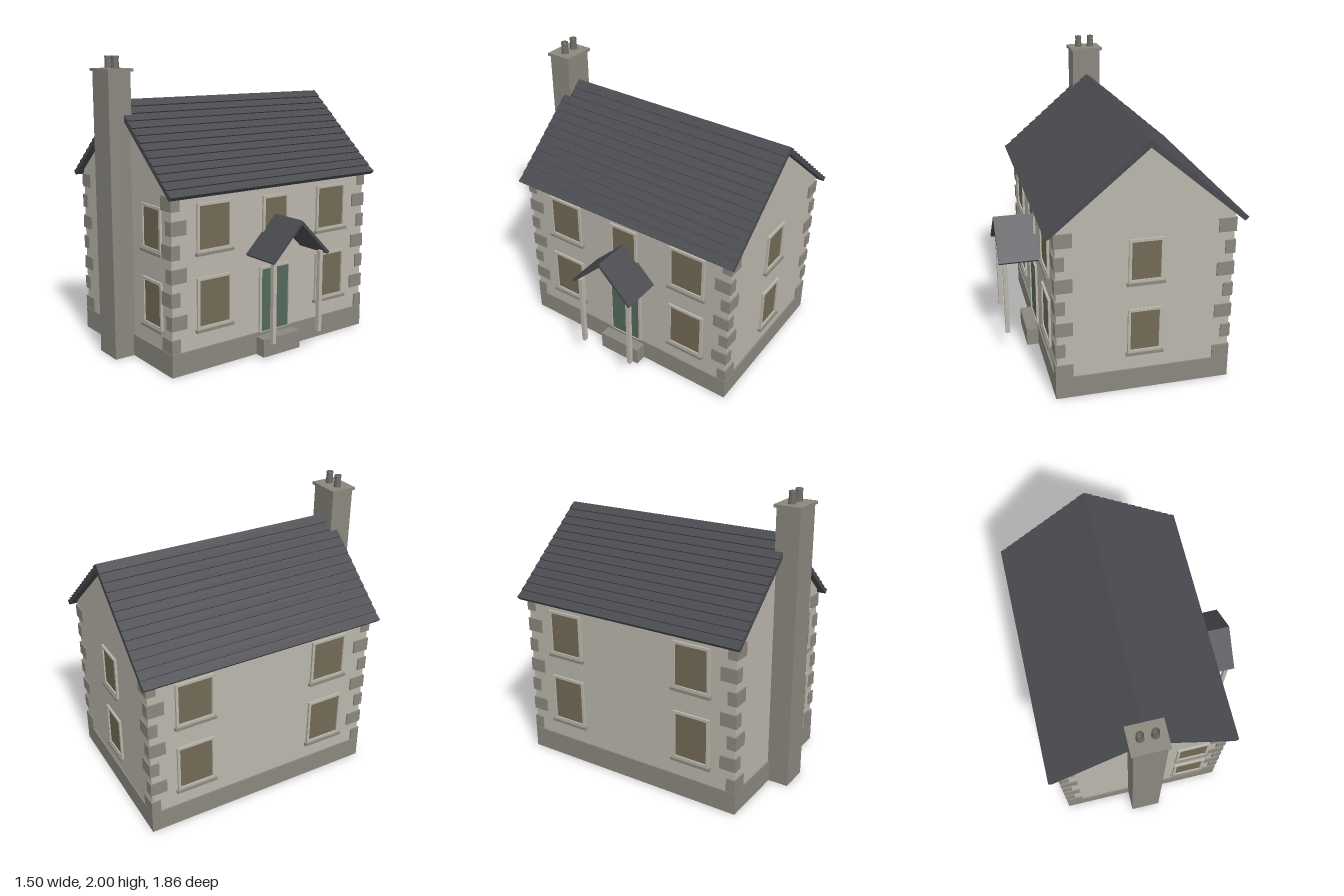
import * as THREE from 'three';

const mat = (color, side = THREE.FrontSide) => new THREE.MeshStandardMaterial({ color, side });
const wallMat = mat(0xbab6ac);
const frameMat = mat(0xb8b6aa);
const stoneMat = mat(0x8a877e);
const slateMat = mat(0x4a4b50);
const glassMat = mat(0x736a55);
const doorMat = mat(0x54695c);
const floorMat = mat(0x45423f);
const potMat = mat(0x6f6c66, THREE.DoubleSide);

// Half sizes of the walls, and how far the stonework stands out
const HX = 0.575, HZ = 0.825, OUT = 0.01;

function add(parent, name, geometry, material, x = 0, y = 0, z = 0) {
  const mesh = new THREE.Mesh(geometry, material);
  mesh.name = name;
  mesh.position.set(x, y, z);
  parent.add(mesh);
  return mesh;
}

// Box given by its size, centre in x and z, and bottom in y
function box(parent, name, material, w, h, d, x, y, z) {
  return add(parent, name, new THREE.BoxGeometry(w, h, d), material, x, y + h / 2, z);
}

function extrude(points, depth, holes = []) {
  const shape = new THREE.Shape(points.map(([x, y]) => new THREE.Vector2(x, y)));
  for (const h of holes) shape.holes.push(new THREE.Path(h.map(([x, y]) => new THREE.Vector2(x, y))));
  const g = new THREE.ExtrudeGeometry(shape, { depth, bevelEnabled: false });
  return g.translate(0, 0, -depth / 2);
}

const rect = (x0, y0, x1, y1) => [[x0, y0], [x1, y0], [x1, y1], [x0, y1]];

// Frame around an opening w by h that starts at y = 0
function surround(parent, name, w, h, below) {
  const b = 0.018;
  const g = extrude(rect(-w / 2 - b, -below, w / 2 + b, h + b), 0.03, [rect(-w / 2, 0, w / 2, h)]);
  add(parent, name, g, frameMat);
}

// Window facing +z, with its wall surface at z = 0
function makeWindow(w, h) {
  const g = new THREE.Group();
  g.name = 'window';
  surround(g, 'windowFrame', w, h, 0.018);
  box(g, 'windowPane', glassMat, w, h, 0.01, 0, 0, 0);
  box(g, 'windowSill', stoneMat, w + 0.06, 0.018, 0.05, 0, -0.036, 0);
  return g;
}

function makeDoor() {
  const g = new THREE.Group();
  g.name = 'door';
  surround(g, 'doorFrame', 0.235, 0.44, 0);
  box(g, 'doorPanel', doorMat, 0.235, 0.44, 0.012, 0, 0, 0);
  box(g, 'doorPane', glassMat, 0.06, 0.06, 0.02, 0, 0.31, 0);
  return g;
}

// Puts an item on the wall that faces the given angle, u to the right along it
function onWall(parent, item, angle, dist, u, y) {
  const side = new THREE.Group();
  side.name = item.name + 'Place';
  side.rotation.y = angle;
  item.position.set(u, y, dist);
  side.add(item);
  parent.add(side);
}

// Roof outline: stepped slate courses above, plain slopes below
function roofOutline(rows) {
  const half = [];
  for (let i = 0; i < rows; i++) {
    for (const [t, lift] of [[i / rows, 0.009], [(i + 1) / rows, 0]]) {
      half.push([0.64 * (1 - t) + lift * 0.64, 1.165 + 0.55 * t + lift * 0.77]);
    }
  }
  half[half.length - 1] = [0, 1.72];
  const mirrored = half.slice(0, -1).reverse().map(([x, y]) => [-x, y]);
  return [[0.622, 1.148], ...half, ...mirrored, [-0.622, 1.148], [0, 1.672]];
}

export function createModel() {
  const model = new THREE.Group();
  model.name = 'house';
  const house = new THREE.Group();
  house.name = 'houseParts';
  house.position.set(-0.105, 0, -0.055);
  model.add(house);

  // Walls with gables, over a hollow plinth
  add(house, 'walls', extrude([[-HX, 0.14], [HX, 0.14], [HX, 1.188], [0, 1.675], [-HX, 1.188]], HZ * 2), wallMat);
  box(house, 'floor', floorMat, HX * 2, 0.01, HZ * 2, 0, 0.13, 0);
  const px = HX + OUT, pz = HZ + OUT, t = 0.012;
  const plinth = extrude(rect(-px, -pz, px, pz), 0.15, [rect(-px + t, -pz + t, px - t, pz - t)]);
  add(house, 'plinth', plinth.rotateX(-Math.PI / 2), stoneMat, 0, 0.075, 0);

  // Corner stones, long and short by turns
  for (const sx of [-1, 1]) for (const sz of [-1, 1]) {
    for (let i = 0; i < 7; i++) {
      const [w, d] = i % 2 ? [0.066, 0.116] : [0.116, 0.066];
      box(house, 'cornerStone', stoneMat, w, 0.092, d,
        sx * (px - w / 2), 0.153 + i * 0.1525, sz * (pz - d / 2));
    }
  }

  // Roof
  add(house, 'roof', extrude(roofOutline(13), 1.74), slateMat);

  // Windows on the long sides, then on the gables
  const Q = Math.PI / 2;
  for (const angle of [Q, -Q]) for (const u of [-0.505, 0.505]) {
    onWall(house, makeWindow(0.235, 0.305), angle, HX, u, 0.296);
    onWall(house, makeWindow(0.235, 0.283), angle, HX, u, 0.802);
  }
  for (const [angle, u] of [[0, 0.355], [2 * Q, 0]]) {
    onWall(house, makeWindow(0.19, 0.28), angle, HZ, u, 0.296);
    onWall(house, makeWindow(0.19, 0.26), angle, HZ, u, 0.802);
  }
  onWall(house, makeWindow(0.185, 0.245), Q, HX, 0, 0.826);

  // Door, step and porch
  onWall(house, makeDoor(), Q, HX, 0, 0.15);
  box(house, 'doorStep', stoneMat, 0.09, 0.125, 0.32, 0.622, 0, 0);
  const porch = extrude([[0.232, 0.7], [0.245, 0.714], [0, 0.957], [-0.245, 0.714], [-0.232, 0.7], [0, 0.93]], 0.277);
  add(house, 'porchRoof', porch.rotateY(Q), slateMat, 0.7115, 0, 0);
  for (const s of [-1, 1]) box(house, 'porchPost', frameMat, 0.03, 0.565, 0.028, 0.807, 0.155, s * 0.2);

  // Chimney with a cap and two hollow pots
  box(house, 'chimneyStack', stoneMat, 0.21, 1.9, 0.16, 0, 0, 0.895);
  box(house, 'chimneyCap', stoneMat, 0.238, 0.02, 0.185, 0, 1.9, 0.893);
  const profile = [[0.026, 0], [0.021, 0.065], [0.024, 0.066], [0.024, 0.08], [0.018, 0.08], [0.018, 0.01], [0, 0.01]];
  const pot = new THREE.LatheGeometry(profile.map(([x, y]) => new THREE.Vector2(x, y)), 16);
  for (const s of [-1, 1]) add(house, 'chimneyPot', pot, potMat, s * 0.046, 1.92, 0.89);

  return model;
}
